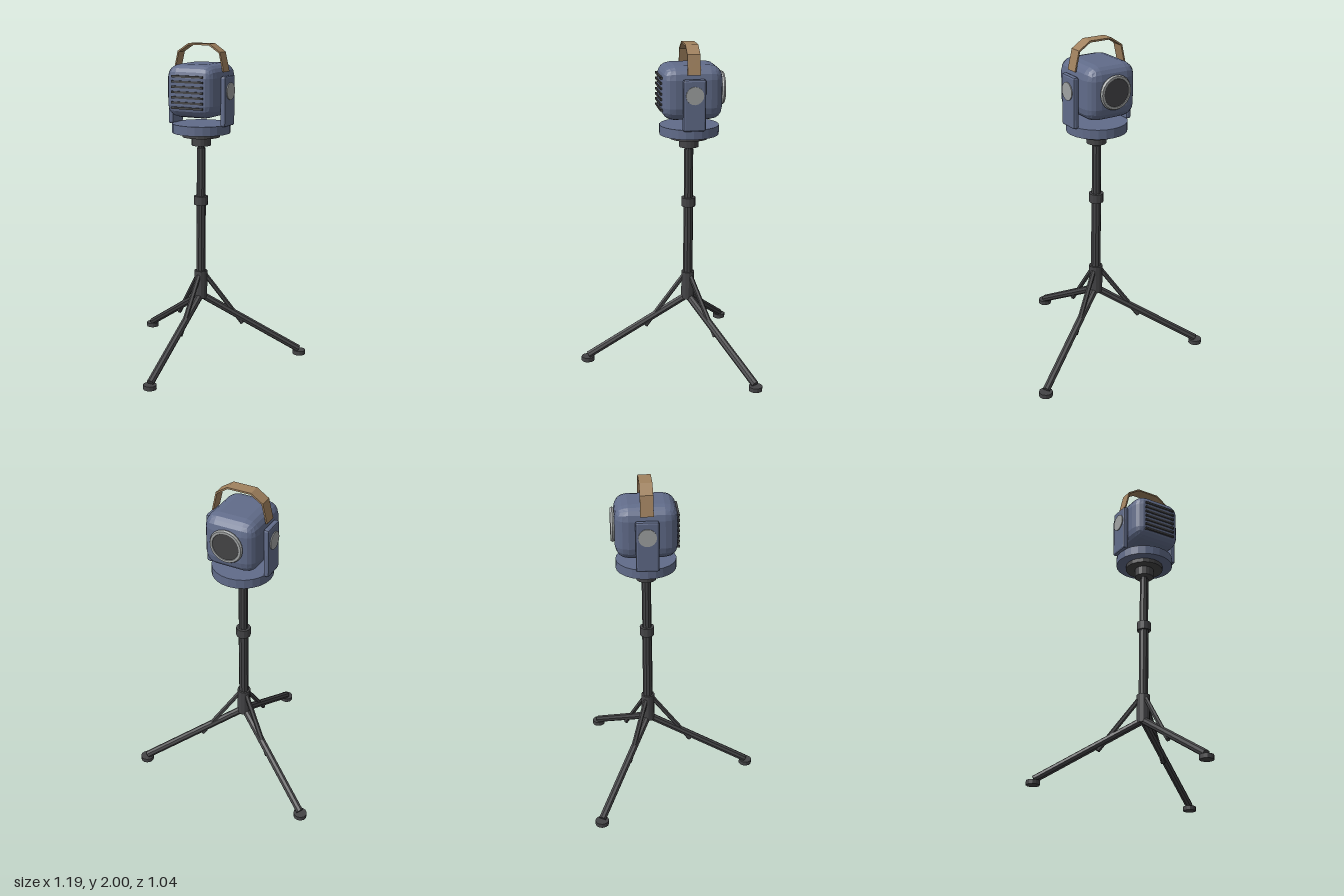
import * as THREE from 'three';
import { RoundedBoxGeometry } from 'three/addons/geometries/RoundedBoxGeometry.js';

const mat = (name, color) => {
  const m = new THREE.MeshStandardMaterial({ color });
  m.name = name;
  return m;
};

// Give every face its own normal for a low-poly look
function faceted(geo) {
  const g = geo.index ? geo.toNonIndexed() : geo;
  g.computeVertexNormals();
  return g;
}

export function createModel() {
  const blue = mat('slate blue paint', 0x616c8a);
  const dark = mat('dark metal', 0x444446);
  const grey = mat('light grey metal', 0xa0a3a3);
  const tan = mat('tan strap', 0xa1825f);

  const model = new THREE.Group();
  model.name = 'tripodLamp';
  const stand = new THREE.Group();
  stand.name = 'standAxis';
  stand.position.z = -0.16;
  model.add(stand);

  const add = (parent, name, geo, material, x = 0, y = 0, z = 0) => {
    const mesh = new THREE.Mesh(faceted(geo), material);
    mesh.name = name;
    mesh.position.set(x, y, z);
    parent.add(mesh);
    return mesh;
  };
  // Upright cylinder between two heights
  const disc = (parent, name, r, y0, y1, sides, material, z = 0) =>
    add(parent, name, new THREE.CylinderGeometry(r, r, y1 - y0, sides), material, 0, (y0 + y1) / 2, z);
  // Rod between two points
  const rod = (parent, name, a, b, r, sides) => {
    const dir = b.clone().sub(a);
    const mesh = add(parent, name, new THREE.CylinderGeometry(r, r, dir.length(), sides), dark);
    mesh.position.copy(a).add(b).multiplyScalar(0.5);
    mesh.quaternion.setFromUnitVectors(new THREE.Vector3(0, 1, 0), dir.normalize());
  };

  // Column
  disc(stand, 'hub', 0.041, 0.39, 0.57, 12, dark);
  disc(stand, 'lowerPole', 0.03, 0.55, 1.02, 10, dark);
  disc(stand, 'poleCollar', 0.044, 1.0, 1.055, 12, dark);
  disc(stand, 'upperPole', 0.028, 1.04, 1.36, 10, dark);
  disc(stand, 'neck', 0.02, 1.35, 1.385, 10, dark);
  disc(stand, 'mountStem', 0.06, 1.376, 1.432, 16, dark);
  disc(stand, 'mountPlate', 0.118, 1.43, 1.458, 20, dark);
  disc(stand, 'turntable', 0.18, 1.456, 1.513, 24, blue);

  // Three legs with braces and feet
  for (let i = 0; i < 3; i++) {
    const leg = new THREE.Group();
    leg.name = 'leg' + (i + 1);
    leg.rotation.y = (i * Math.PI * 2) / 3;
    stand.add(leg);
    rod(leg, 'legTube', new THREE.Vector3(0, 0.41, 0), new THREE.Vector3(0, 0.035, 0.635), 0.023, 8);
    rod(leg, 'brace', new THREE.Vector3(0, 0.545, 0.025), new THREE.Vector3(0, 0.215, 0.27), 0.015, 6);
    disc(leg, 'foot', 0.041, 0, 0.027, 12, dark, 0.64);
  }

  // Lamp housing
  add(stand, 'housing', new RoundedBoxGeometry(0.324, 0.322, 0.366, 2, 0.078), blue, 0, 1.72, 0);

  // Yoke arms with pivot discs
  for (const s of [-1, 1]) {
    add(stand, s > 0 ? 'leftArm' : 'rightArm',
      new RoundedBoxGeometry(0.035, 0.305, 0.135, 1, 0.012), blue, s * 0.18, 1.66, 0);
    const pivot = add(stand, s > 0 ? 'leftPivot' : 'rightPivot',
      new THREE.CylinderGeometry(0.053, 0.053, 0.03, 16), grey, s * 0.188, 1.72, 0);
    pivot.rotation.z = Math.PI / 2;
  }

  // Front grille slats
  for (let i = 0; i < 7; i++) {
    add(stand, 'grilleSlat', new THREE.BoxGeometry(0.21, 0.013, 0.022), dark, 0, 1.623 + i * 0.0315, 0.179);
  }

  // Rear lens and its rim
  add(stand, 'lensRim', new THREE.TorusGeometry(0.089, 0.013, 6, 24), grey, 0, 1.73, -0.193);
  const lens = add(stand, 'lens', new THREE.CylinderGeometry(0.086, 0.086, 0.025, 24), dark, 0, 1.73, -0.189);
  lens.rotation.x = Math.PI / 2;

  // Carrying handle: a folded flat strap
  const half = [[0.172, 1.835], [0.145, 1.952], [0.072, 2.0]];
  const inner = [[0.163, 1.835], [0.137, 1.946], [0.069, 1.99]];
  const mirror = (pts) => pts.map(([x, y]) => [-x, y]).reverse();
  const outline = [...half, ...mirror(half), ...inner.map(([x, y]) => [-x, y]), ...[...inner].reverse()];
  const strap = new THREE.Shape(outline.map(([x, y]) => new THREE.Vector2(x, y)));
  add(stand, 'handle', new THREE.ExtrudeGeometry(strap, { depth: 0.076, bevelEnabled: false }), tan, 0, 0, -0.038);

  return model;
}
